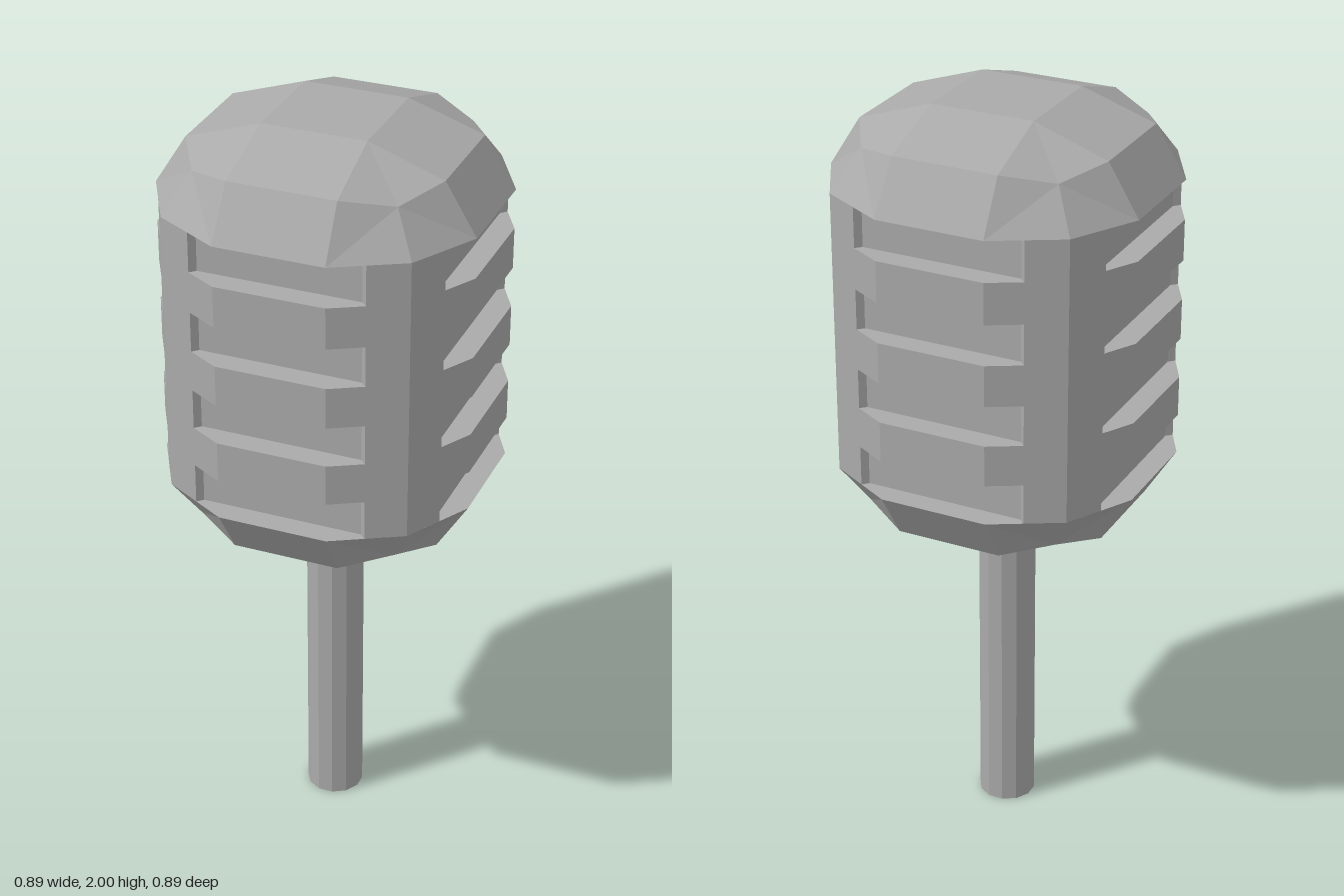
import * as THREE from 'three';

const CAP_HEIGHT = 0.195, BODY_BOTTOM = 1.065, BODY_TOP = 1.805;
const SLOT = 0.105; // slots and ribs alternate at this pitch

// Flat-shaded faceted dome on y = 0, one quadrant repeated four times
function domeGeometry() {
  const h = CAP_HEIGHT, y1 = 0.13, y2 = 0.105;
  const top = [0, h, 0], base = [0, 0, 0];
  const A = [0, h, 0.19], A2 = [0.19, h, 0];
  const B = [-0.135, y1, 0.33], C = [0.135, y1, 0.33], C2 = [0.33, y1, 0.135];
  const D = [0, y2, 0.365], G = [0, 0, 0.445];
  const E = [-0.19, 0, 0.39], F = [0.19, 0, 0.39], F2 = [0.39, 0, 0.19];
  const faces = [
    [top, A, A2], [A, B, D], [A, D, C], [A, C, C2, A2],
    [D, B, E, G], [D, G, F, C], [C, F, F2, C2],
    [base, G, E], [base, F, G], [base, F2, F],
  ];
  const positions = [];
  for (let q = 0; q < 4; q++) {
    const c = Math.round(Math.cos(q * Math.PI / 2)), s = Math.round(Math.sin(q * Math.PI / 2));
    const put = ([x, y, z]) => positions.push(x * c + z * s, y, z * c - x * s);
    for (const f of faces) {
      for (let i = 1; i < f.length - 1; i++) [f[0], f[i], f[i + 1]].forEach(put);
    }
  }
  const geometry = new THREE.BufferGeometry();
  geometry.setAttribute('position', new THREE.Float32BufferAttribute(positions, 3));
  geometry.computeVertexNormals();
  return geometry;
}

// Upright prism from a plan outline
function prism(points, height) {
  const shape = new THREE.Shape(points.map(([x, y]) => new THREE.Vector2(x, y)));
  return new THREE.ExtrudeGeometry(shape, { depth: height, bevelEnabled: false }).rotateX(-Math.PI / 2);
}

export function createModel() {
  const model = new THREE.Group();
  const grey = new THREE.MeshStandardMaterial({ color: 0xaaaaaa, flatShading: true });
  grey.name = 'grey';

  const add = (name, geometry, y) => {
    const mesh = new THREE.Mesh(geometry, grey);
    mesh.name = name;
    mesh.position.y = y;
    model.add(mesh);
    return mesh;
  };

  // Handle
  add('handle', new THREE.CylinderGeometry(0.075, 0.075, 0.88, 12), 0.44);

  // Domed ends of the head
  const dome = domeGeometry();
  add('topCap', dome, BODY_TOP);
  add('bottomCap', dome, BODY_BOTTOM).rotation.x = Math.PI;

  // Core of the head, recessed on its four diagonal sides
  const outline = [];
  let quadrant = [[0, 0.445], [0.1, 0.416], [0.1, 0.395], [0.395, 0.1], [0.416, 0.1]];
  for (let q = 0; q < 4; q++) {
    outline.push(...quadrant);
    quadrant = quadrant.map(([x, y]) => [y, -x]);
  }
  add('headCore', prism(outline, BODY_TOP - BODY_BOTTOM), BODY_BOTTOM);

  // Three ribs in each diagonal recess, leaving four slots
  const rib = prism([[0.1, 0.395], [0.1, 0.416], [0.19, 0.39], [0.39, 0.19], [0.416, 0.1], [0.395, 0.1]], SLOT + 0.002);
  for (let q = 0; q < 4; q++) {
    for (let row = 0; row < 3; row++) {
      add('rib', rib, BODY_BOTTOM + SLOT + row * 2 * 0.106).rotation.y = q * Math.PI / 2;
    }
  }

  return model;
}
